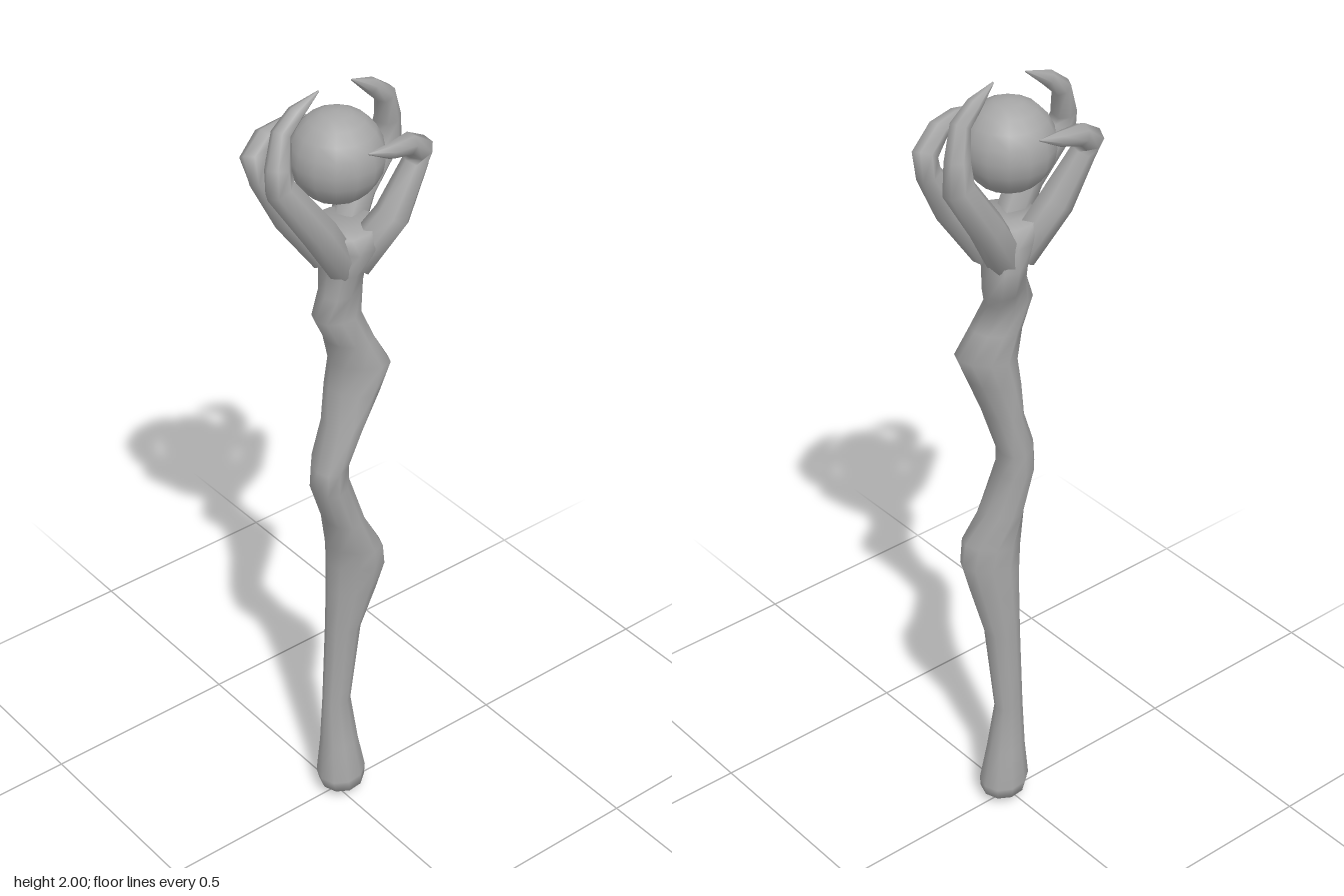
import * as THREE from 'three';

const V = (x, y, z) => new THREE.Vector3(x, y, z);

// Skin rings of equal length, closing both ends with a centre point
function loft(rings, startPoint, endPoint) {
  const n = rings[0].length, pos = [], idx = [];
  rings.flat().concat([startPoint, endPoint]).forEach(p => pos.push(p.x, p.y, p.z));
  const last = (rings.length - 1) * n, s = rings.length * n, e = s + 1;
  for (let j = 0; j < n; j++) {
    const k = (j + 1) % n;
    for (let i = 0; i < rings.length - 1; i++) {
      const a = i * n + j, b = i * n + k;
      idx.push(a, a + n, b, b, a + n, b + n);
    }
    idx.push(s, j, k, e, last + k, last + j);
  }
  const g = new THREE.BufferGeometry();
  g.setAttribute('position', new THREE.Float32BufferAttribute(pos, 3));
  g.setIndex(idx);
  g.computeVertexNormals();
  return g;
}

// Horizontal oval fitted to x and z extents; skew leans it diagonally
function oval([y, x0, x1, z0, z1, skew], n = 10) {
  return Array.from({ length: n }, (_, j) => {
    const t = j / n * Math.PI * 2;
    return V((x0 + x1) / 2 + (x1 - x0) / 2 * Math.cos(t), y,
      (z0 + z1) / 2 + (z1 - z0) / 2 * Math.sin(t + skew));
  });
}

// Tapered finger along a path of [x, y, z, radius]
function claw(path, n = 7) {
  const pts = path.map(p => V(p[0], p[1], p[2]));
  const rings = pts.map((p, i) => {
    const T = pts[Math.min(i + 1, pts.length - 1)].clone().sub(pts[Math.max(i - 1, 0)]).normalize();
    const N = V(0, 0, 1).cross(T).normalize();
    const B = N.clone().cross(T);
    return Array.from({ length: n }, (_, j) => {
      const t = j / n * Math.PI * 2;
      return p.clone().addScaledVector(N, path[i][3] * Math.cos(t))
        .addScaledVector(B, path[i][3] * Math.sin(t));
    });
  });
  return loft(rings, pts[0], pts[pts.length - 1]);
}

export function createModel() {
  const model = new THREE.Group();
  const grey = new THREE.MeshStandardMaterial({ color: 0xa6a6a6 });
  grey.name = 'grey';
  const add = (name, geometry) => {
    const m = new THREE.Mesh(geometry, grey);
    m.name = name;
    model.add(m);
    return m;
  };

  // Gnarled shaft swelling into the palm: y, x range, z range, skew
  const sections = [
    [0.03, -0.045, 0.075, -0.055, 0.06, -0.1],
    [0.06, -0.052, 0.08, -0.06, 0.06, -0.1],
    [0.16, -0.04, 0.058, -0.045, 0.042, 0],
    [0.29, -0.033, 0.042, -0.036, 0.024, 0],
    [0.52, -0.022, 0.06, -0.037, 0.038, 0.2],
    [0.64, -0.02, 0.085, -0.036, 0.062, 0.4],
    [0.72, -0.02, 0.102, -0.036, 0.075, 0.5],
    [0.78, -0.025, 0.092, -0.036, 0.083, 0.4],
    [0.87, -0.042, 0.05, -0.042, 0.077, 0],
    [0.98, -0.085, 0.026, -0.05, 0.072, -0.35],
    [1.04, -0.08, 0.026, -0.05, 0.07, -0.35],
    [1.14, -0.035, 0.044, -0.043, 0.075, 0.1],
    [1.23, -0.022, 0.076, -0.04, 0.082, 0.4],
    [1.3, -0.015, 0.106, -0.036, 0.085, 0.45],
    [1.37, -0.035, 0.072, -0.034, 0.076, 0.2],
    [1.44, -0.07, 0.05, -0.036, 0.06, 0],
    [1.5, -0.052, 0.09, -0.076, 0.058, -0.5],
    [1.56, -0.04, 0.073, -0.08, 0.072, -0.3],
    [1.62, -0.05, 0.085, -0.085, 0.092, 0],
    [1.66, -0.07, 0.09, -0.07, 0.08, 0],
  ];
  add('shaft', loft(sections.map(s => oval(s)), V(0.03, 0.0, 0.01), V(0, 1.645, 0)));

  // Four claws curling round the orb
  add('leftUpperClaw', claw([
    [0.03, 1.57, -0.03, 0.045], [0.105, 1.69, -0.055, 0.042], [0.17, 1.8, -0.04, 0.038],
    [0.165, 1.86, -0.03, 0.03], [0.142, 1.93, -0.012, 0.024], [0.1, 1.965, -0.008, 0.019],
    [0.045, 1.998, -0.005, 0.002]]));
  add('leftFrontClaw', claw([
    [0.03, 1.57, 0.03, 0.045], [0.1, 1.68, 0.07, 0.042], [0.165, 1.79, 0.068, 0.03],
    [0.165, 1.83, 0.082, 0.03], [0.115, 1.865, 0.1, 0.026], [0.055, 1.875, 0.115, 0.018],
    [0.0, 1.885, 0.11, 0.002]]));
  add('rightUpperClaw', claw([
    [-0.005, 1.57, 0.03, 0.04], [-0.09, 1.7, 0.05, 0.042], [-0.17, 1.82, 0.022, 0.036],
    [-0.165, 1.86, 0.01, 0.03], [-0.14, 1.93, -0.01, 0.023], [-0.1, 1.965, -0.012, 0.019],
    [-0.04, 1.998, -0.01, 0.002]]));
  add('rightBackClaw', claw([
    [-0.005, 1.57, -0.03, 0.04], [-0.085, 1.69, -0.06, 0.042], [-0.15, 1.8, -0.075, 0.03],
    [-0.152, 1.835, -0.095, 0.03], [-0.11, 1.865, -0.11, 0.026], [-0.045, 1.878, -0.115, 0.017],
    [0.0, 1.885, -0.105, 0.002]]));

  // Orb held by the claws
  add('orb', new THREE.SphereGeometry(0.108, 14, 10)).position.set(0, 1.835, 0);

  return model;
}
